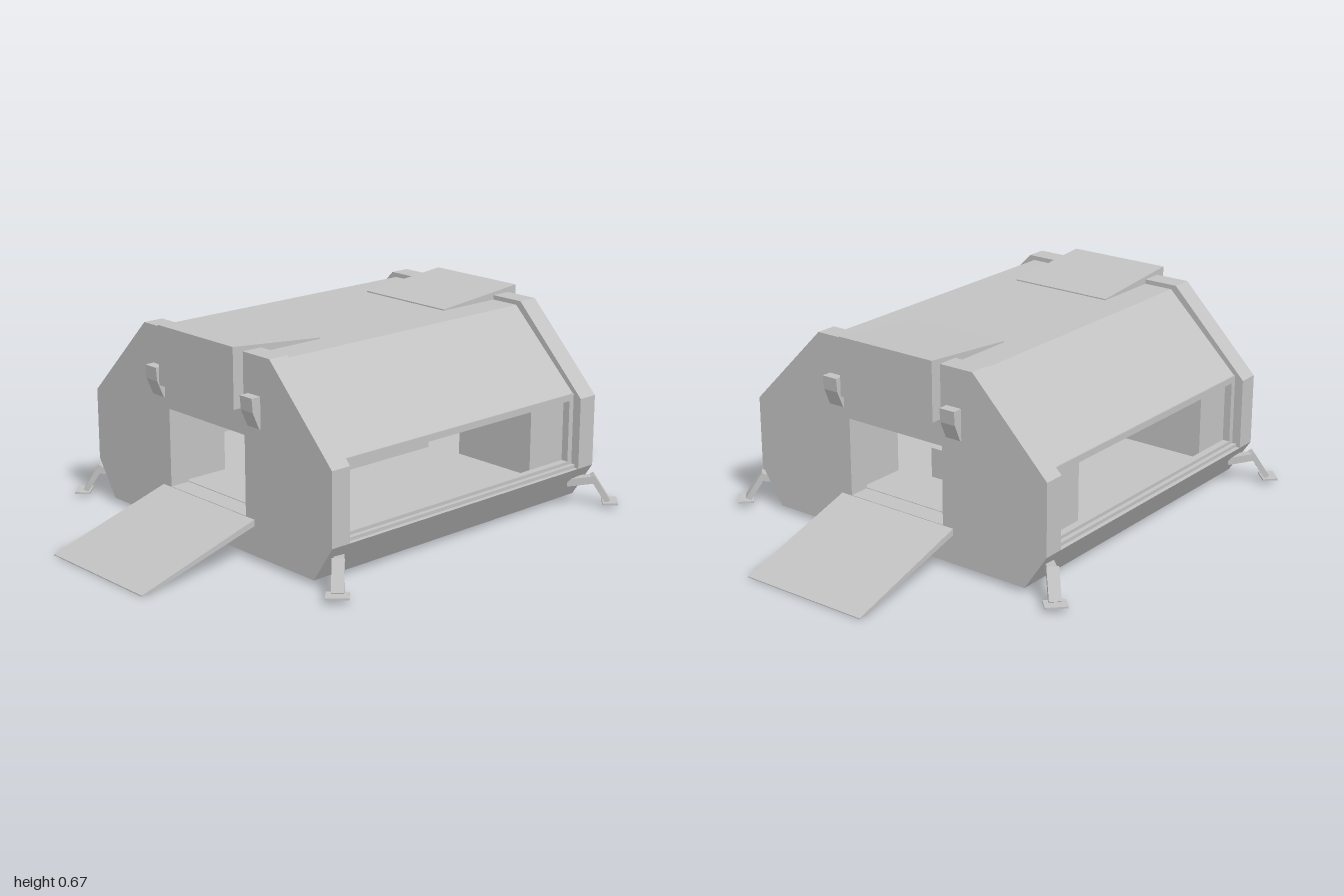
import * as THREE from 'three';

export function createModel() {
  const model = new THREE.Group();
  model.name = 'shelterModule';
  const grey = new THREE.MeshStandardMaterial({ color: 0xc2c2c2 });
  grey.name = 'panelGrey';

  const add = (name, geometry, parent = model) => {
    const mesh = new THREE.Mesh(geometry, grey);
    mesh.name = name;
    parent.add(mesh);
    return mesh;
  };
  const toShape = (pts) => new THREE.Shape(pts.map(([a, b]) => new THREE.Vector2(a, b)));
  // Extrusion of an (x, y) outline along z, from z0 to z1
  const alongZ = (shape, z0, z1) =>
    new THREE.ExtrudeGeometry(shape, { depth: z1 - z0, bevelEnabled: false }).translate(0, 0, z0);
  // Extrusion of a (z, y) outline along x, centred on cx
  const alongX = (pts, width, cx = 0) =>
    new THREE.ExtrudeGeometry(toShape(pts), { depth: width, bevelEnabled: false })
      .translate(0, 0, -width / 2).rotateY(-Math.PI / 2).translate(cx, 0, 0);
  // Box given by its limits
  const box = (x0, x1, y0, y1, z0, z1) =>
    new THREE.BoxGeometry(x1 - x0, y1 - y0, z1 - z0)
      .translate((x0 + x1) / 2, (y0 + y1) / 2, (z0 + z1) / 2);
  // Mirror the right half of an outline to close it
  const mirrored = (half) => [...half, ...half.map(([x, y]) => [-x, y]).reverse()];

  // Hull under the floor
  add('hull', alongZ(toShape(mirrored([[0.495, 0.015], [0.575, 0.135]])), -0.505, 0.505));

  // Roof shell
  add('roof', alongZ(toShape([
    ...mirrored([[0.545, 0.365], [0.545, 0.38], [0.285, 0.633]]),
    ...mirrored([[0.515, 0.365], [0.27, 0.603]]).reverse(),
  ]), -0.505, 0.505));

  // Window frames on both long sides
  for (const s of [-1, 1]) {
    const frame = toShape([[-0.505, 0.135], [0.505, 0.135], [0.505, 0.385], [-0.505, 0.385]]);
    frame.holes.push(new THREE.Path([[-0.485, 0.157], [-0.485, 0.363], [0.485, 0.363], [0.485, 0.157]]
      .map(([a, b]) => new THREE.Vector2(a, b))));
    const g = new THREE.ExtrudeGeometry(frame, { depth: 0.025, bevelEnabled: false })
      .translate(0, 0, -0.0125).rotateY(-Math.PI / 2).translate(s * 0.5325, 0, 0);
    add('windowFrame', g);
    add('windowSill', box(s * 0.5525 - 0.0075, s * 0.5525 + 0.0075, 0.135, 0.146, -0.505, 0.505));
  }

  // Interior: bench, centre partition and corner lockers
  add('bench', box(-0.08, 0.08, 0.13, 0.235, -0.31, 0.31));
  add('partition', box(-0.0175, 0.0175, 0.235, 0.605, -0.305, 0.305));
  add('locker', box(-0.515, -0.2, 0.135, 0.38, 0.345, 0.505));
  add('locker', box(-0.515, -0.2, 0.135, 0.38, -0.505, -0.335));
  add('locker', box(0.2, 0.515, 0.135, 0.38, -0.505, -0.335));

  // Both ends are the same, turned half round
  for (const turn of [0, Math.PI]) {
    const end = new THREE.Group();
    end.name = turn ? 'backEnd' : 'frontEnd';
    end.rotation.y = turn;
    model.add(end);

    // End wall with doorway
    const wall = toShape(mirrored([[0.495, 0.015], [0.575, 0.135], [0.575, 0.372], [0.303, 0.648]]));
    wall.holes.push(new THREE.Path([[-0.185, 0.133], [-0.185, 0.39], [0.185, 0.39], [0.185, 0.133]]
      .map(([a, b]) => new THREE.Vector2(a, b))));
    add('endWall', alongZ(wall, 0.505, 0.575), end);

    // Wedge canopy housing over the door
    add('canopy', alongX([[0.57, 0.475], [0.613, 0.475], [0.613, 0.668], [0.27, 0.637], [0.27, 0.63], [0.57, 0.63]], 0.365), end);

    // Ramp down to the ground
    add('ramp', alongX([[0.57, 0.133], [1, 0.003], [1, 0], [0.97, 0], [0.57, 0.112]], 0.45), end);

    // Hooded lamps beside the canopy
    for (const s of [-1, 1])
      add('lamp', alongX([[0.574, 0.525], [0.608, 0.525], [0.604, 0.48], [0.58, 0.425], [0.574, 0.425]], 0.055, s * 0.2325), end);
  }

  // Corner legs, built along local +z and turned outward
  const beam = (name, parent, [y0, z0], [y1, z1], width, thick) => {
    const length = Math.hypot(y1 - y0, z1 - z0);
    const mesh = add(name, new THREE.BoxGeometry(width, thick, length), parent);
    mesh.position.set(0, (y0 + y1) / 2, (z0 + z1) / 2);
    mesh.rotation.x = -Math.atan2(y1 - y0, z1 - z0);
  };
  for (const sx of [-1, 1]) for (const sz of [-1, 1]) {
    const leg = new THREE.Group();
    leg.name = 'cornerLeg';
    leg.position.set(sx * 0.55, 0, sz * 0.525);
    leg.rotation.y = Math.atan2(sx, sz);
    model.add(leg);
    beam('legBracket', leg, [0.08, -0.03], [0.092, 0.06], 0.03, 0.025);
    beam('legStrut', leg, [0.105, 0.05], [0.018, 0.105], 0.038, 0.018);
    add('footPad', box(-0.035, 0.035, 0.012, 0.018, 0.088, 0.138), leg);
  }

  return model;
}
